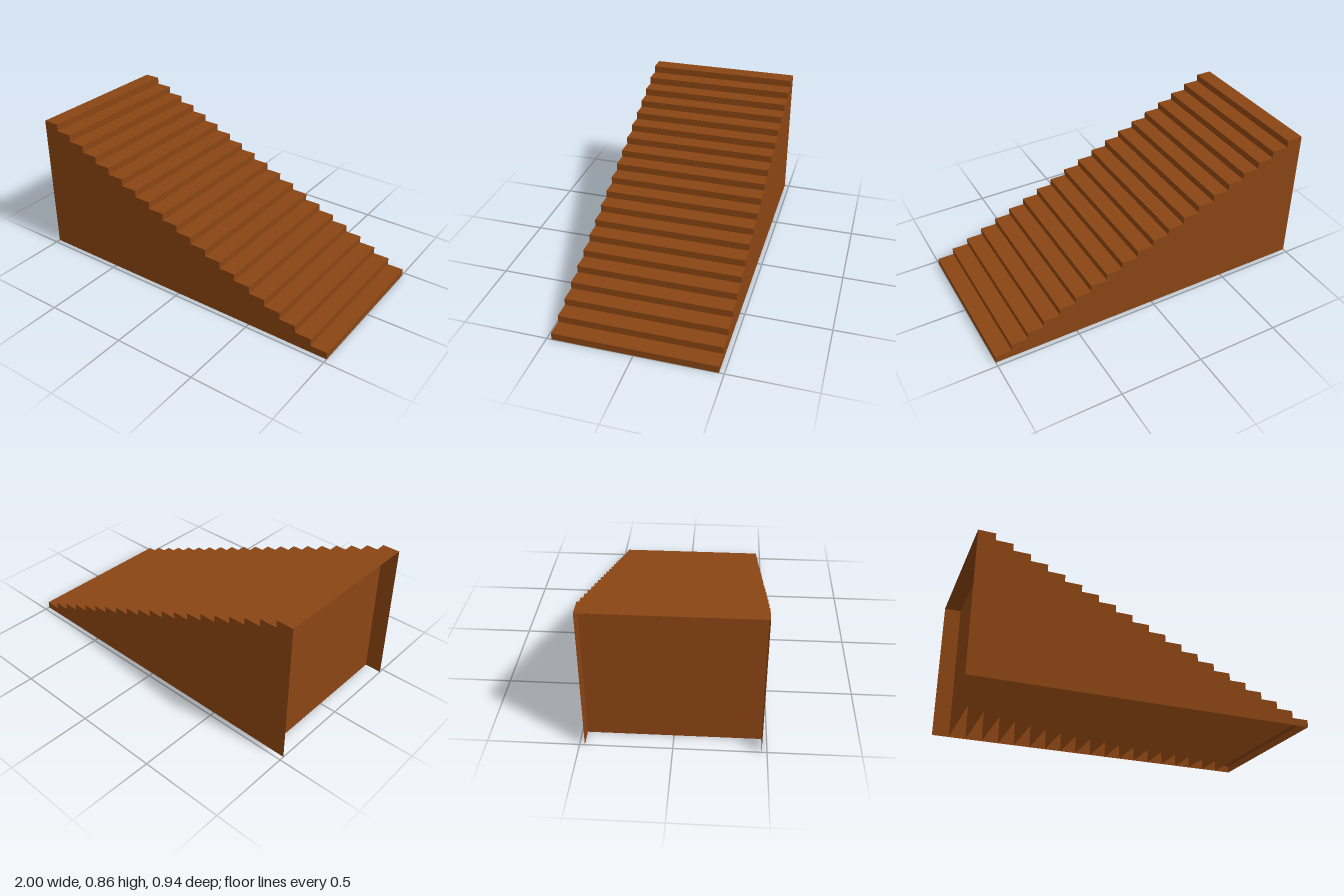
import * as THREE from 'three';

const STEPS = 20;
const RUN = 0.1;
const RISE = 0.857 / STEPS;
const HALF = 0.4715; // half the stair width

export function createModel() {
  const group = new THREE.Group();
  group.name = 'staircase';
  const wood = new THREE.MeshStandardMaterial({ color: 0x8b4513, side: THREE.DoubleSide });

  const add = (name, geometry, x, y, z) => {
    const mesh = new THREE.Mesh(geometry, wood);
    mesh.name = name;
    mesh.position.set(x, y, z);
    group.add(mesh);
    return mesh;
  };

  // Thin side walls with a stepped upper edge, open at the bottom and high end
  const profile = new THREE.Shape();
  profile.moveTo(-1, 0);
  profile.lineTo(1, 0);
  for (let i = 0; i < STEPS; i++) {
    profile.lineTo(1 - i * RUN, (i + 1) * RISE);
    profile.lineTo(1 - (i + 1) * RUN, (i + 1) * RISE);
  }
  profile.closePath();
  const wall = new THREE.ShapeGeometry(profile);
  add('leftSideWall', wall, 0, 0, HALF).name = 'frontSideWall';
  // Mirrored through a half turn of the reversed profile so it faces outward
  const backWall = wall.clone().scale(-1, 1, 1).rotateY(Math.PI);
  const index = backWall.index.array;
  for (let i = 0; i < index.length; i += 3) {
    [index[i], index[i + 1]] = [index[i + 1], index[i]];
  }
  backWall.computeVertexNormals();
  add('backSideWall', backWall, 0, 0, -HALF);

  // Each step: a thin tread and a riser panel that reaches the ground
  const tread = new THREE.PlaneGeometry(RUN, 2 * HALF).rotateX(-Math.PI / 2);
  for (let i = 0; i < STEPS; i++) {
    const x = 1 - i * RUN;
    const top = (i + 1) * RISE;
    add(`tread${i + 1}`, tread, x - RUN / 2, top, 0);
    const riser = new THREE.PlaneGeometry(2 * HALF, top).rotateY(Math.PI / 2);
    add(`riser${i + 1}`, riser, x, top / 2, 0);
  }
  return group;
}
